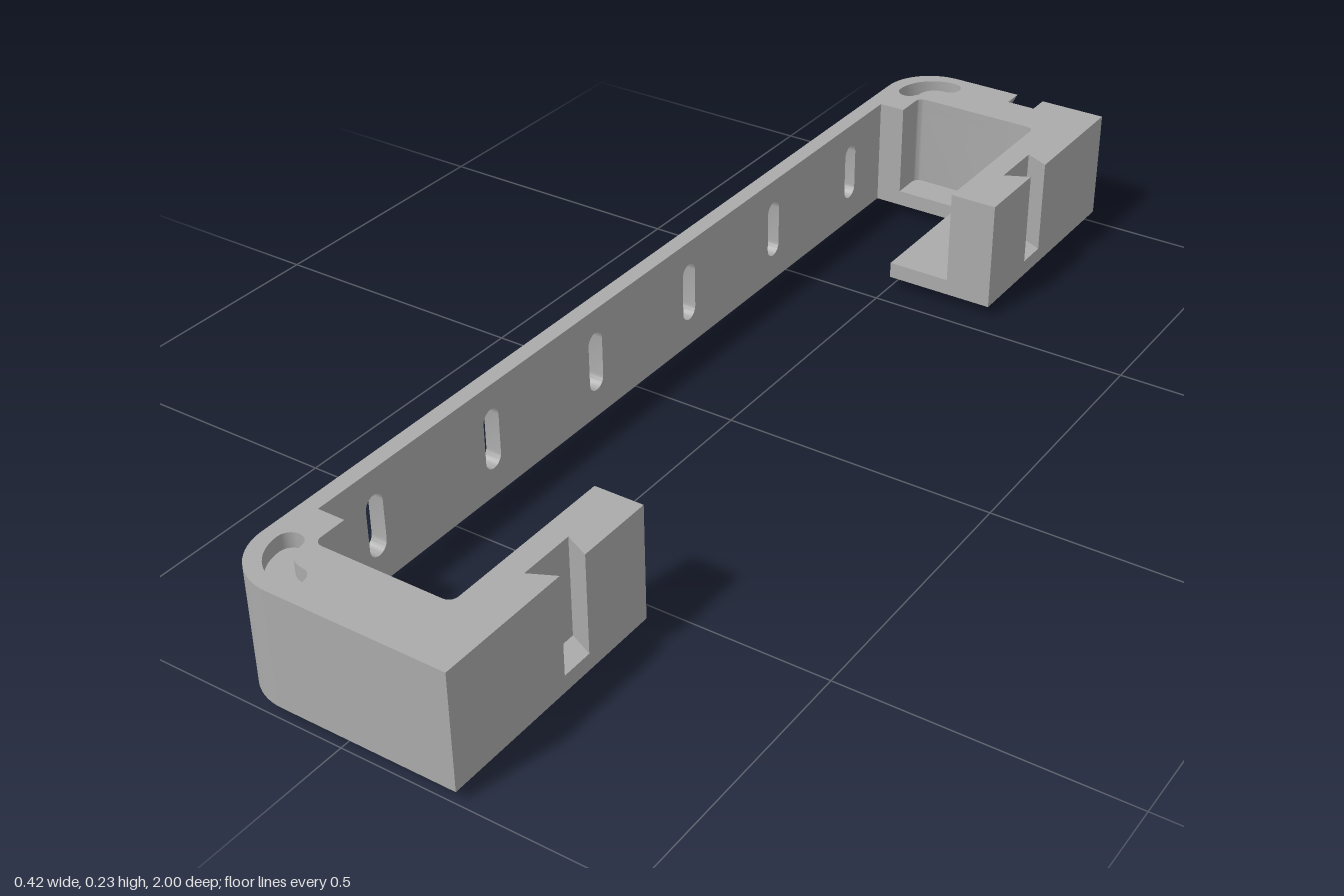
import * as THREE from 'three';
import { toCreasedNormals } from 'three/addons/utils/BufferGeometryUtils.js';

const BOTTOM = 0.022, FLOOR = 0.052, RECESS = 0.203, TOP = 0.23;
const INNER = 0.815; // where the end blocks meet the long wall

const arc = (cx, cy, r, a0, a1, n = 10) => Array.from({ length: n + 1 }, (_, i) => {
  const a = (a0 + (a1 - a0) * i / n) * Math.PI / 180;
  return [cx + r * Math.cos(a), cy + r * Math.sin(a)];
});

const toVectors = (pts, s = 1) => pts.map(([x, y]) => new THREE.Vector2(x, y * s));

function extrude(pts, holes, depth, s = 1) {
  const shape = new THREE.Shape(toVectors(pts, s));
  holes.forEach(h => shape.holes.push(new THREE.Path(toVectors(h, s))));
  return new THREE.ExtrudeGeometry(shape, { depth, bevelEnabled: false });
}

// Plan outline in (x, z) raised between two heights; s = -1 mirrors to the back
function slab(pts, holes, y0, y1, s) {
  return extrude(pts, holes, y1 - y0, s).rotateX(Math.PI / 2).translate(0, y1, 0);
}

// Curved bean outline following the rounded corner
function bean(r) {
  const cx = -0.103, cz = 0.897, R = 0.058;
  return [
    ...arc(cx, cz, R + r, 90, 180, 12),
    ...arc(cx - R, cz, r, 180, 360, 10).slice(1),
    ...arc(cx, cz, R - r, 180, 90, 12).slice(1),
    ...arc(cx, cz + R, r, -90, 90, 10).slice(1, -1),
  ];
}

export function createModel() {
  const model = new THREE.Group();
  const gray = new THREE.MeshStandardMaterial({ color: 0xaaaaaa });
  gray.name = 'gray';
  const add = (name, geometry) => {
    const mesh = new THREE.Mesh(toCreasedNormals(geometry, 0.5), gray);
    mesh.name = name;
    model.add(mesh);
  };

  // Long thin wall with six upright slots
  const slots = [-0.7, -0.42, -0.14, 0.14, 0.42, 0.7].map(z => [
    ...arc(z, 0.167, 0.019, 0, 180), ...arc(z, 0.093, 0.019, 180, 360),
  ]);
  const wall = extrude(
    [[-INNER, BOTTOM], [INNER, BOTTOM], [INNER, TOP], [-INNER, TOP]], slots, 0.03);
  add('longWall', wall.rotateY(-Math.PI / 2).translate(-0.18, 0, 0));

  for (const s of [1, -1]) {
    const end = s > 0 ? 'front' : 'back';
    // The back end has a pocket that receives the keyed insert
    const gap = s > 0 ? [] : [[-0.02, 1], [-0.02, 0.96], [0.125, 0.96], [0.125, 1]];
    const outer = [[-0.21, INNER], ...arc(-0.11, 0.9, 0.1, 180, 90, 16), ...gap, [0.208, 1]];

    // Floor under the pocket and arm
    add(end + 'Floor', slab([...outer, [0.208, 0.55], [0, 0.55], [0, INNER]],
      [], BOTTOM, FLOOR, s));

    // Walls around the pocket, with a dovetail groove in the arm
    const walls = [
      ...outer,
      [0.208, 0.752], [0.163, 0.774], [0.163, 0.672], [0.208, 0.693],
      [0.208, 0.55], [0.12, 0.55],
      ...arc(0.105, 0.865, 0.015, 0, 90, 5),
      ...arc(-0.115, 0.865, 0.015, 90, 180, 5),
      [-0.13, INNER],
    ];
    add(end + 'PocketWalls', slab(walls, [], FLOOR, RECESS, s));
    add(end + 'PocketRim', slab(walls, [bean(0.022)], RECESS, TOP, s));

    // Locating peg under the corner
    add(end + 'Peg', slab(bean(0.018), [], 0, BOTTOM, s));
  }

  // Insert in the back end with a dovetail notch at top and bottom
  const d = 0.045;
  add('notchedInsert', extrude([
    [-0.02, BOTTOM], [0.025, BOTTOM], [0.002, BOTTOM + d], [0.103, BOTTOM + d],
    [0.08, BOTTOM], [0.125, BOTTOM], [0.125, TOP], [0.08, TOP], [0.103, TOP - d],
    [0.002, TOP - d], [0.025, TOP], [-0.02, TOP],
  ], [], 0.04).translate(0, 0, -1));

  return model;
}
